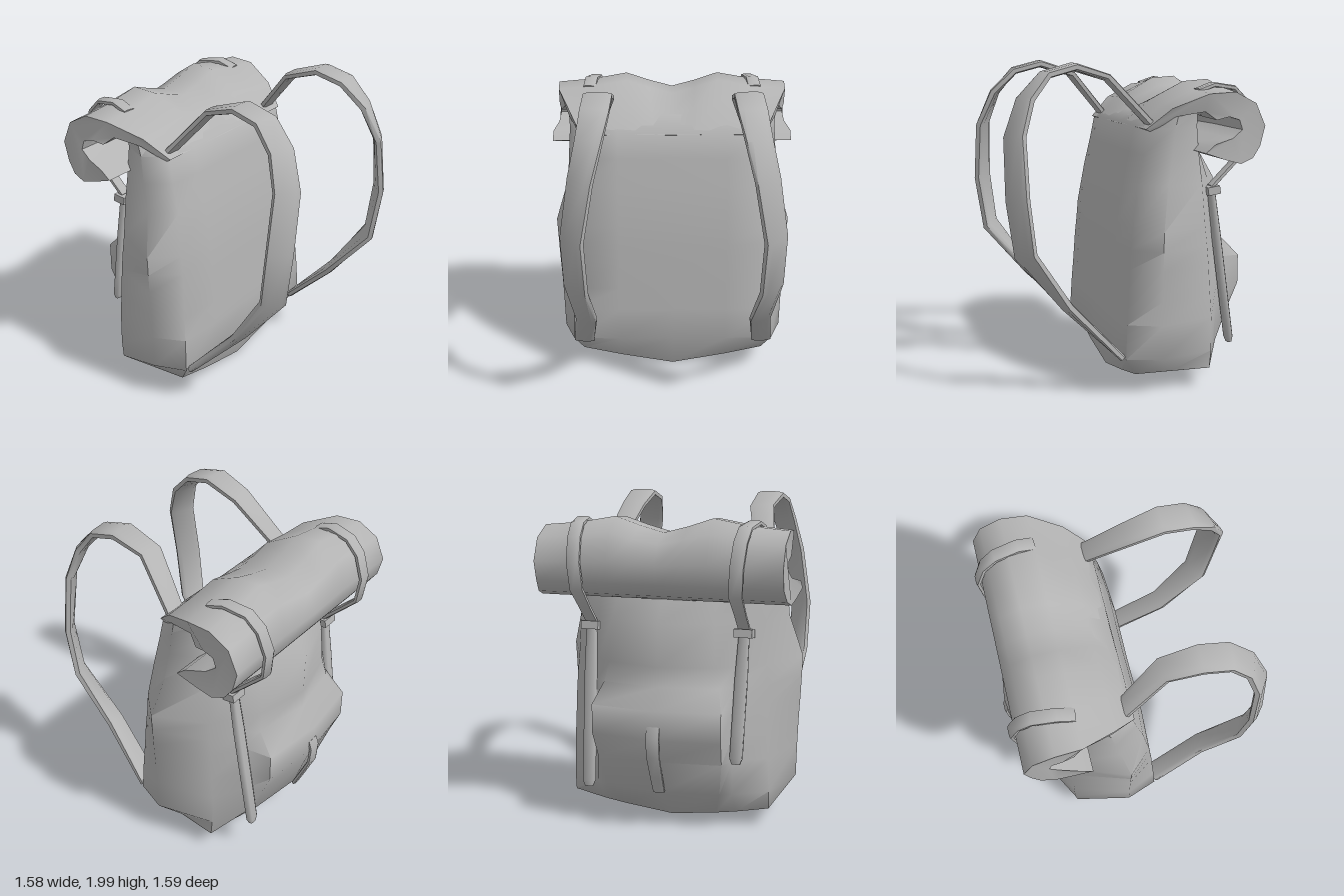
import * as THREE from 'three';
import { toCreasedNormals } from 'three/addons/utils/BufferGeometryUtils.js';

const V = (x, y, z) => new THREE.Vector3(x, y, z);

// Skin equal-length rings of points; plan is the 2D outline used to close both ends.
function loft(rings, plan, crease) {
  const n = plan.length, index = [];
  for (let r = 0; r < rings.length - 1; r++) {
    for (let i = 0; i < n; i++) {
      const a = r * n + i, b = r * n + (i + 1) % n;
      index.push(a, b, b + n, a, b + n, a + n);
    }
  }
  const cw = THREE.ShapeUtils.isClockWise(plan), last = (rings.length - 1) * n;
  for (const t of THREE.ShapeUtils.triangulateShape(plan, [])) {
    const [a, b, c] = cw ? [t[2], t[1], t[0]] : t;
    index.push(c, b, a, last + a, last + b, last + c);
  }
  // turn the faces outward if the enclosed volume is negative
  const p = rings.flat();
  let volume = 0;
  for (let i = 0; i < index.length; i += 3) {
    volume += p[index[i]].dot(p[index[i + 1]].clone().cross(p[index[i + 2]]));
  }
  if (volume < 0) index.reverse();
  const g = new THREE.BufferGeometry().setFromPoints(p);
  g.setIndex(index);
  return toCreasedNormals(g, crease);
}

// Strap along rows of [x, y, z, width, thickness, lean]; lean turns the outer edge backward.
function strap(rows, side) {
  const section = [[-0.5, -0.3], [-0.3, -0.5], [0.3, -0.5], [0.5, -0.3],
    [0.5, 0.3], [0.3, 0.5], [-0.3, 0.5], [-0.5, 0.3]];
  const pts = rows.map(([x, y, z]) => V(x * side, y, z));
  const rings = rows.map(([, , , w, th, lean = 0], i) => {
    const back = pts[Math.max(i - 1, 0)], next = pts[Math.min(i + 1, pts.length - 1)];
    const t = next.clone().sub(back).normalize();
    const across = V(side, 0, -lean);
    across.addScaledVector(t, -across.dot(t)).normalize();
    const normal = t.clone().cross(across);
    return section.map(([u, v]) =>
      pts[i].clone().addScaledVector(across, u * w).addScaledVector(normal, v * th));
  });
  return loft(rings, section.map(([u, v]) => new THREE.Vector2(u, v)), 1.1);
}

// Bag: a mirrored outline at each height, with a pocket swelling from the back
function bagGeometry() {
  // [y, front z, front corner x, side x, side z, back corner x, z, pocket foot z, pocket edge x, z, back z]
  const levels = [
    [0.01, 0.03, 0.6, 0.61, -0.2, 0.63, -0.45, -0.46, 0.3, -0.45, -0.4],
    [0.24, 0.11, 0.66, 0.73, -0.1, 0.63, -0.46, -0.57, 0.36, -0.6, -0.65],
    [0.45, 0.1, 0.65, 0.735, -0.1, 0.625, -0.46, -0.57, 0.39, -0.67, -0.72],
    [0.6, 0.09, 0.64, 0.74, -0.1, 0.62, -0.45, -0.57, 0.4, -0.73, -0.775],
    [0.78, 0.08, 0.63, 0.75, -0.1, 0.615, -0.44, -0.55, 0.4, -0.73, -0.78],
    [0.9, 0.07, 0.62, 0.755, -0.1, 0.61, -0.43, -0.54, 0.36, -0.62, -0.68],
    [1.02, 0.06, 0.62, 0.76, -0.1, 0.6, -0.42, -0.53, 0.33, -0.6, -0.68],
    [1.28, 0.02, 0.59, 0.68, -0.15, 0.59, -0.4, -0.5, 0.32, -0.58, -0.68],
    [1.46, -0.02, 0.58, 0.67, -0.18, 0.58, -0.38, -0.44, 0.3, -0.48, -0.55],
    [1.62, -0.05, 0.57, 0.66, -0.2, 0.57, -0.37, -0.42, 0.3, -0.43, -0.44],
    [1.71, -0.16, 0.57, 0.665, -0.22, 0.58, -0.37, -0.41, 0.3, -0.42, -0.43],
  ];
  const rings = levels.map(([y, fz, fx, sx, sz, bx, bz, footZ, px, pz, backZ], level) => {
    const half = [[0, fz], [0.35, fz + 0.005], [fx, fz - 0.01], [sx, sz], [bx, bz],
      [0.43, footZ], [px, pz], [0, backZ]];
    const mirrored = half.slice(1, -1).reverse().map(([x, z]) => [-x, z]);
    // the underside rises toward the sides
    const slope = level === 0 ? 0.19 : 0;
    return [...half, ...mirrored].map(([x, z]) => V(x, y + slope * Math.abs(x), z));
  });
  return loft(rings, rings[1].map((p) => new THREE.Vector2(p.x, p.z)), 1.1);
}

// Lid that curls into a roll: section points [z, y, half width]
function rollGeometry() {
  const section = [
    [-0.045, 1.61, 0.58], [-0.18, 1.74, 0.66], [-0.38, 1.83, 0.74], [-0.54, 1.84, 0.75],
    [-0.67, 1.77, 0.75], [-0.73, 1.63, 0.75], [-0.7, 1.51, 0.75], [-0.65, 1.44, 0.76],
    [-0.57, 1.41, 0.77], [-0.46, 1.44, 0.78], [-0.34, 1.48, 0.79], [-0.4, 1.53, 0.79],
    [-0.52, 1.56, 0.76], [-0.585, 1.61, 0.75], [-0.565, 1.67, 0.75], [-0.5, 1.69, 0.75],
    [-0.43, 1.67, 0.73], [-0.37, 1.72, 0.7], [-0.2, 1.69, 0.66], [-0.08, 1.59, 0.58],
  ];
  // position across the width, and rise of the top at that position
  const stations = [[-1, -0.01], [-0.7, 0.01], [-0.4, 0.05], [-0.2, 0], [0, -0.04],
    [0.2, 0], [0.4, 0.05], [0.7, 0.01], [1, -0.01]];
  const rings = stations.map(([s, rise]) => section.map(([z, y, w]) =>
    V(s * w, y + rise * THREE.MathUtils.clamp((y - 1.6) / 0.24, 0, 1), z)));
  return loft(rings, section.map(([z, y]) => new THREE.Vector2(z, y)), 0.9);
}

export function createModel() {
  const group = new THREE.Group();
  const grey = new THREE.MeshStandardMaterial({ color: 0xb4b4b4 });
  grey.name = 'grey cloth';
  const add = (name, geometry) => {
    const mesh = new THREE.Mesh(geometry, grey);
    mesh.name = name;
    group.add(mesh);
    return mesh;
  };

  add('bag', bagGeometry());
  add('rolledLid', rollGeometry());

  const shoulder = [
    [0.51, 1.63, -0.1, 0.12, 0.04], [0.43, 1.91, 0.15, 0.15, 0.04], [0.44, 1.975, 0.36, 0.17, 0.045],
    [0.45, 1.93, 0.53, 0.17, 0.045, 0.1], [0.48, 1.79, 0.655, 0.16, 0.05, 0.35],
    [0.53, 1.58, 0.73, 0.16, 0.05, 0.6], [0.59, 1.22, 0.73, 0.16, 0.05, 0.8],
    [0.58, 0.89, 0.685, 0.16, 0.05, 0.8], [0.545, 0.56, 0.43, 0.13, 0.05, 0.3],
    [0.59, 0.24, 0.11, 0.13, 0.04],
  ];
  const rollStrap = [
    [0.54, 1.83, -0.38, 0.08, 0.03], [0.53, 1.865, -0.48, 0.08, 0.03], [0.51, 1.845, -0.62, 0.08, 0.03],
    [0.5, 1.77, -0.7, 0.08, 0.03], [0.49, 1.63, -0.75, 0.08, 0.03], [0.48, 1.47, -0.73, 0.08, 0.03],
    [0.48, 1.35, -0.61, 0.07, 0.03], [0.48, 1.24, -0.5, 0.07, 0.03],
  ];
  // the right hanging strap is the shorter one
  const hangingStrap = (end) => {
    const at = (y, w, th) => [0.46 + 0.02 * (y - 0.25), y, -0.5 - 0.15 * (1.24 - y), w, th];
    return [at(1.24, 0.06, 0.04), at(0.95, 0.075, 0.045), at(0.65, 0.075, 0.045),
      at(end + 0.035, 0.075, 0.045), at(end, 0.05, 0.03)];
  };
  for (const [side, word, end] of [[1, 'left', 0.235], [-1, 'right', 0.45]]) {
    add(word + 'ShoulderStrap', strap(shoulder, side));
    add(word + 'RollStrap', strap(rollStrap, side));
    add(word + 'HangingStrap', strap(hangingStrap(end), side));
    const buckle = add(word + 'Buckle', new THREE.BoxGeometry(0.11, 0.05, 0.08));
    buckle.position.set(0.48 * side, 1.22, -0.505);
    buckle.rotation.x = 0.15;
  }

  // Pocket closure on the back
  add('pocketStrap', strap([
    [0, 0.68, -0.765, 0.08, 0.025], [0, 0.62, -0.785, 0.08, 0.025], [0, 0.5, -0.775, 0.08, 0.025],
    [0, 0.36, -0.715, 0.075, 0.025], [0, 0.25, -0.665, 0.07, 0.025],
  ], 1));
  return group;
}
